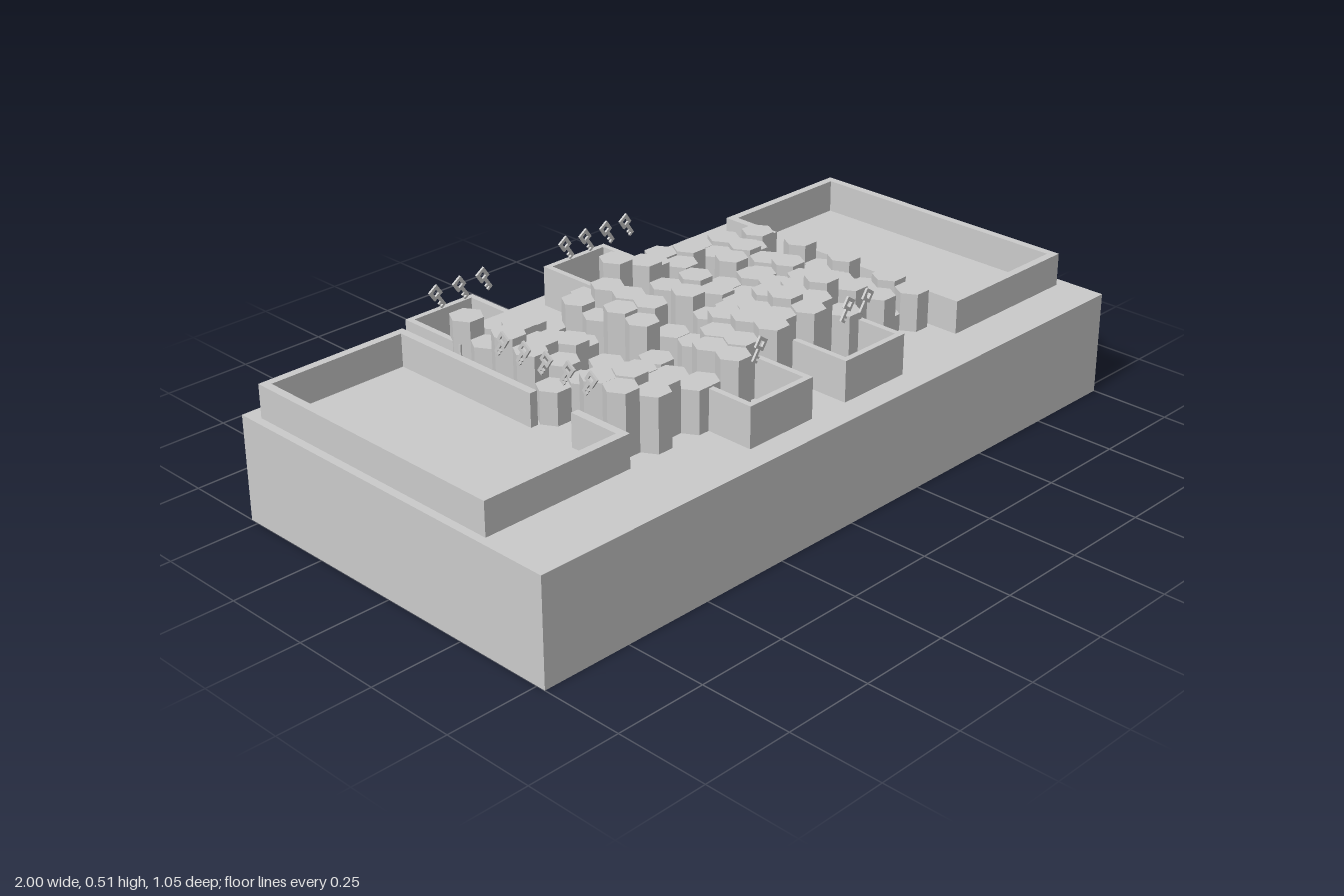
import * as THREE from 'three';

const FLOOR = 0.285;

export function createModel() {
  const root = new THREE.Group();
  const mat = new THREE.MeshStandardMaterial({ color: 0xcccccc, flatShading: true });

  const add = (parent, geo, name, x = 0, y = 0, z = 0) => {
    const m = new THREE.Mesh(geo, mat);
    m.name = name;
    m.position.set(x, y, z);
    parent.add(m);
    return m;
  };
  // Box given by its plan rectangle and height range
  const block = (parent, name, x0, x1, z0, z1, y0, y1) =>
    add(parent, new THREE.BoxGeometry(x1 - x0, y1 - y0, z1 - z0), name,
      (x0 + x1) / 2, (y0 + y1) / 2, (z0 + z1) / 2);

  // Ground slab
  block(root, 'base', -1, 1, -0.525, 0.525, 0, FLOOR);

  // Two large walled rooms, each with a doorway towards the middle
  const largeRoom = (name, x0, x1, z0, z1, doorSide, d0, d1) => {
    const g = new THREE.Group();
    g.name = name;
    const t = 0.022, top = 0.375;
    block(g, 'backWall', x0, x1, z0, z0 + t, FLOOR, top);
    block(g, 'frontWall', x0, x1, z1 - t, z1, FLOOR, top);
    for (const s of [-1, 1]) {
      const a = s < 0 ? x0 : x1 - t;
      if (s === doorSide) {
        block(g, 'doorWall', a, a + t, z0 + t, d0, FLOOR, top);
        block(g, 'doorWall', a, a + t, d1, z1 - t, FLOOR, top);
      } else block(g, 'sideWall', a, a + t, z0 + t, z1 - t, FLOOR, top);
    }
    root.add(g);
  };
  largeRoom('rightRoom', -0.978, -0.546, -0.478, 0.325, 1, 0.015, 0.155);
  largeRoom('leftRoom', 0.534, 0.966, -0.402, 0.402, -1, -0.235, -0.093);

  // Chest with a rounded low-poly lid
  const chest = (parent, x, z) => {
    const g = new THREE.Group();
    g.name = 'chest';
    g.position.set(x, FLOOR, z);
    block(g, 'chestBody', -0.031, 0.031, -0.014, 0.014, 0, 0.026);
    const lid = new THREE.CylinderGeometry(0.018, 0.018, 0.07, 6);
    lid.rotateZ(Math.PI / 2);
    add(g, lid, 'chestLid', 0, 0.028, 0);
    parent.add(g);
  };

  // Small alcoves, open towards the middle: [x0, x1, side, chestX]
  const alcoves = [
    [-0.535, -0.319, -1, -0.43], [-0.075, 0.139, -1, 0.03],
    [-0.289, -0.075, 1, -0.185], [0.043, 0.259, 1, 0.165],
  ];
  for (const [x0, x1, s, cx] of alcoves) {
    const g = new THREE.Group();
    g.name = 'alcove';
    const t = 0.016, top = 0.395;
    const [z0, z1] = s < 0 ? [-0.478, -0.27] : [0.27, 0.455];
    const end = s < 0 ? z0 : z1 - t;
    block(g, 'endWall', x0, x1, end, end + t, FLOOR, top);
    for (const a of [x0, x1 - t])
      block(g, 'sideWall', a, a + t, s < 0 ? z0 + t : z0, s < 0 ? z1 : z1 - t, FLOOR, top);
    chest(g, cx, s < 0 ? -0.405 : 0.375);
    root.add(g);
  }

  // Maze of hexagonal pillars: one string per column, back to front, # = pillar
  const maze = [
    '#####.##', '########', '########', '#.#...##', '#....###', '####..##',
    '########', '#....###', '########', '#.###.##', '##.#####', '#.######',
    '##.#####', '####.###', '##.#####', '#.######',
  ];
  // Height limits along x and along z
  const limitX = [0.48, 0.455, 0.425, 0.40, 0.38, 0.43, 0.435, 0.475,
    0.48, 0.48, 0.46, 0.485, 0.45, 0.415, 0.38, 0.41];
  const limitZ = [0.455, 0.485, 0.46, 0.48, 0.46, 0.46, 0.44, 0.42,
    0.40, 0.42, 0.43, 0.45, 0.45, 0.48, 0.48, 0.465];
  let seed = 7;
  const rand = () => (seed = (seed * 16807) % 2147483647) / 2147483647;
  const R = 0.0441, rowStep = R * Math.sqrt(3);
  const pillars = new THREE.Group();
  pillars.name = 'pillars';
  maze.forEach((column, i) => [...column].forEach((c, j) => {
    const r = rand();
    if (c !== '#') return;
    const top = Math.min(limitX[i], limitZ[2 * j + (i % 2)]) - (r > 0.5 ? (r - 0.5) * 0.12 : 0);
    const h = top - FLOOR;
    const geo = new THREE.CylinderGeometry(R, R, h, 6);
    geo.rotateY(Math.PI / 2);
    add(pillars, geo, 'pillar', -0.497 + i * R * 1.5, FLOOR + h / 2, -0.288 + (j + (i % 2) / 2) * rowStep);
  }));
  root.add(pillars);

  // Small markers in the clearings of the maze
  for (const [x, z] of [[-0.285, 0.012], [0.083, 0.14], [0.387, 0.025]])
    add(root, new THREE.CylinderGeometry(0.009, 0.009, 0.03, 10), 'marker', x, FLOOR + 0.015, z);

  // Floating key: square bow with a hole, shaft along +x and two teeth
  const outline = new THREE.Shape([
    [-0.015, -0.015], [0.015, -0.015], [0.015, -0.004], [0.03, -0.004], [0.03, -0.012],
    [0.035, -0.012], [0.035, -0.004], [0.041, -0.004], [0.041, -0.012], [0.047, -0.012],
    [0.047, 0.004], [0.015, 0.004], [0.015, 0.015], [-0.015, 0.015],
  ].map(([x, y]) => new THREE.Vector2(x, y)));
  outline.holes.push(new THREE.Path([
    [-0.007, -0.007], [-0.007, 0.007], [0.007, 0.007], [0.007, -0.007],
  ].map(([x, y]) => new THREE.Vector2(x, y))));
  const keyGeo = new THREE.ExtrudeGeometry(outline, { depth: 0.006, bevelEnabled: false });
  keyGeo.translate(0, 0, -0.003);
  keyGeo.rotateZ(-Math.PI * 0.31);

  const keys = new THREE.Group();
  keys.name = 'keys';
  const key = (x, z, turn) => {
    add(keys, keyGeo, 'key', x, 0.491, z).rotation.y = turn;
  };
  for (const x of [-0.515, -0.44, -0.365, -0.088, -0.018, 0.055, 0.125]) key(x, -0.38, 0);
  for (const x of [-0.175, 0.135, 0.205]) key(x, 0.38, Math.PI);
  for (let i = 0; i < 5; i++) key(-0.578, 0.237 - i * 0.0745, Math.PI / 2);
  root.add(keys);

  return root;
}
